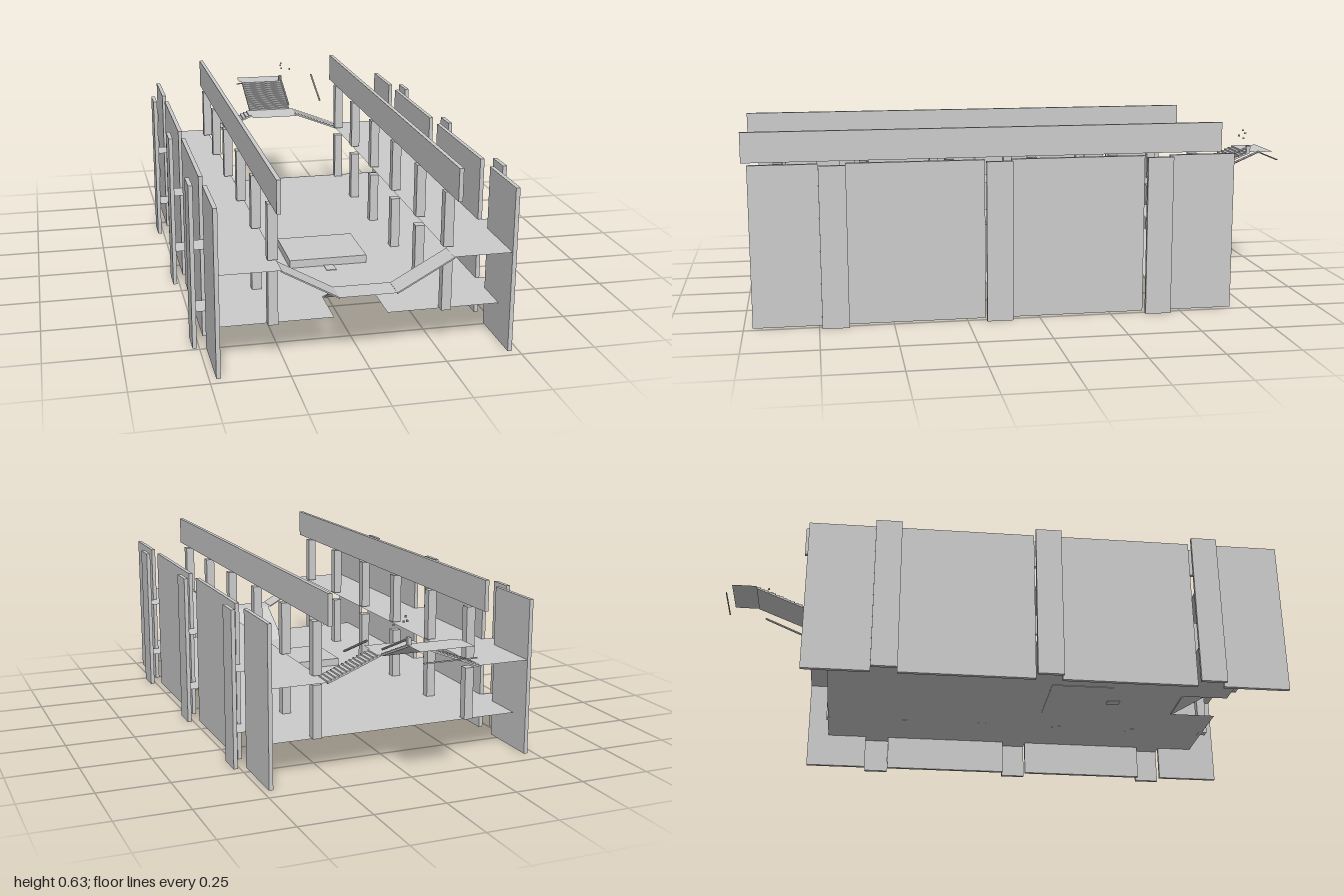
import * as THREE from 'three';

const mat = new THREE.MeshStandardMaterial({ color: 0xcccccc, flatShading: true, side: THREE.DoubleSide });

export function createModel() {
  const root = new THREE.Group();

  const add = (name, geo) => {
    const m = new THREE.Mesh(geo, mat);
    m.name = name;
    root.add(m);
    return m;
  };
  // Box given by its minimum and maximum in each axis
  const box = (name, x0, x1, y0, y1, z0, z1) => {
    const m = add(name, new THREE.BoxGeometry(x1 - x0, y1 - y0, z1 - z0));
    m.position.set((x0 + x1) / 2, (y0 + y1) / 2, (z0 + z1) / 2);
    return m;
  };
  // Thin horizontal sheet from [x, z] corners
  const sheet = (name, y, pts) => {
    const shape = new THREE.Shape(pts.map(([x, z]) => new THREE.Vector2(x, -z)));
    const m = add(name, new THREE.ShapeGeometry(shape));
    m.rotation.x = -Math.PI / 2;
    m.position.y = y;
  };
  const rect = (x0, x1, z0, z1) => [[x0, z0], [x1, z0], [x1, z1], [x0, z1]];
  // Extrude a side profile of [run, height]; along x, or along z when alongZ
  const extrude = (name, pts, from, width, alongZ) => {
    const shape = new THREE.Shape(pts.map(([a, b]) => new THREE.Vector2(alongZ ? -a : a, b)));
    const g = new THREE.ExtrudeGeometry(shape, { depth: width, bevelEnabled: false });
    if (alongZ) g.rotateY(Math.PI / 2);
    g.translate(alongZ ? from : 0, 0, alongZ ? 0 : from);
    add(name, g);
  };
  // Sloping slab, smooth or stepped on top
  const slope = (name, [a0, b0], [a1, b1], from, width, alongZ, steps = 0) => {
    const t = 0.005;
    const pts = [[a0, b0 - t], [a1, b1 - t], [a1, b1]];
    for (let i = steps; i > 0; i--) {
      const a = a0 + ((a1 - a0) * (i - 1)) / steps;
      pts.push([a, b0 + ((b1 - b0) * i) / steps]);
      if (i > 1) pts.push([a, b0 + ((b1 - b0) * (i - 1)) / steps]);
    }
    pts.push([a0, b0]);
    extrude(name, pts, from, width, alongZ);
  };

  const zBack = -0.69, zFront = 0.97;
  const alcoves = [[-0.46, -0.37], [0.095, 0.185], [0.65, 0.74]];

  // Outer edge of a floor along one side, stepping out into the alcoves
  const outerEdge = (s, z0, z1) => {
    const pts = [[s * 0.47, z0]];
    for (const [a, b] of alcoves) pts.push([s * 0.47, a], [s * 0.515, a], [s * 0.515, b], [s * 0.47, b]);
    pts.push([s * 0.47, z1]);
    return pts;
  };

  // Lower floor with a notch for the front stair
  sheet('lowerFloor', 0.127, [
    ...outerEdge(1, -0.61, 0.873),
    [0.09, 0.873], [0.09, 0.7], [-0.085, 0.7], [-0.085, 0.873],
    ...outerEdge(-1, -0.61, 0.873).reverse(),
  ]);

  for (const s of [1, -1]) {
    const side = s > 0 ? 'left' : 'right';
    const xs = (a, b) => (s > 0 ? [a, b] : [-b, -a]);

    // Side walls: long panels with set-out alcove panels between them
    let z = zBack;
    for (const [a, b] of alcoves) {
      box(side + 'WallPanel', ...xs(0.464, 0.478), 0, 0.55, z, a);
      box(side + 'AlcovePanel', ...xs(0.508, 0.522), 0, 0.55, a, b);
      z = b;
    }
    box(side + 'WallPanel', ...xs(0.464, 0.478), 0, 0.55, z, zFront);

    // Balcony floor
    sheet(side + 'Balcony', 0.338, [
      ...outerEdge(s, zBack, zFront), [s * 0.272, zFront], [s * 0.272, zBack],
    ]);

    // Roof beam and two tiers of columns
    const bx = s > 0 ? 0.275 : -0.286;
    box(side + 'Beam', bx - 0.007, bx + 0.007, 0.528, 0.634, -0.71, 1);
    for (let i = 0; i < 6; i++) {
      const cx = i === 5 ? s * 0.281 : s > 0 ? 0.279 : -0.285;
      const cz = 0.875 - i * 0.295;
      box(side + 'LowerColumn', cx - 0.016, cx + 0.016, 0.126, 0.311, cz - 0.016, cz + 0.016);
      box(side + 'UpperColumn', cx - 0.016, cx + 0.016, 0.343, 0.525, cz - 0.016, cz + 0.016);
    }

    // Cross stairs: down to the front landing, up to the back landing
    slope(side + 'FrontStair', [s * 0.275, 0.338], [s * 0.092, 0.235], 0.885, 0.085, false);
    slope(side + 'BackStair', [s * 0.275, 0.338], [s * 0.088, 0.412], zBack, 0.08, false, 14);
  }

  // Front landing and the stair from it to the lower floor
  sheet('frontLanding', 0.234, rect(-0.095, 0.092, 0.88, zFront));
  slope('frontCentreStair', [0.7, 0.127], [0.882, 0.234], -0.08, 0.17, true);

  // Back landings and the stair between them
  sheet('backLanding', 0.412, rect(-0.092, 0.092, zBack, -0.56));
  slope('backCentreStair', [zBack, 0.412], [-0.89, 0.492], -0.086, 0.172, true, 14);
  sheet('topLanding', 0.492, rect(-0.095, 0.092, -0.98, -0.89));
  box('endBar', -0.093, 0.09, 0.458, 0.462, -1, -0.996);

  // Handrails beside the back stair
  const rail = (name, x, y0, z0, y1, z1) => {
    const path = new THREE.LineCurve3(new THREE.Vector3(x, y0, z0), new THREE.Vector3(x, y1, z1));
    add(name, new THREE.TubeGeometry(path, 1, 0.004, 6));
  };
  rail('stairRail', 0.084, 0.43, -0.69, 0.512, -0.885);
  rail('looseRail', 0.223, 0.44, -0.7, 0.515, -0.875);
  box('railPost', 0.078, 0.09, 0.49, 0.515, -0.89, -0.875);

  // Small fittings above the top of the stair
  for (const [x, y, z] of [[0.084, 0.556, -0.845], [0.084, 0.564, -0.87], [0.084, 0.576, -0.86], [0.121, 0.55, -0.85]])
    box('fitting', x - 0.003, x + 0.003, y - 0.003, y + 0.003, z - 0.003, z + 0.003);

  // Low platform with its front step
  box('platform', -0.139, 0.136, 0.125, 0.155, 0.205, 0.433);
  box('platformStep', -0.018, 0.016, 0.123, 0.129, 0.433, 0.48);

  return root;
}
